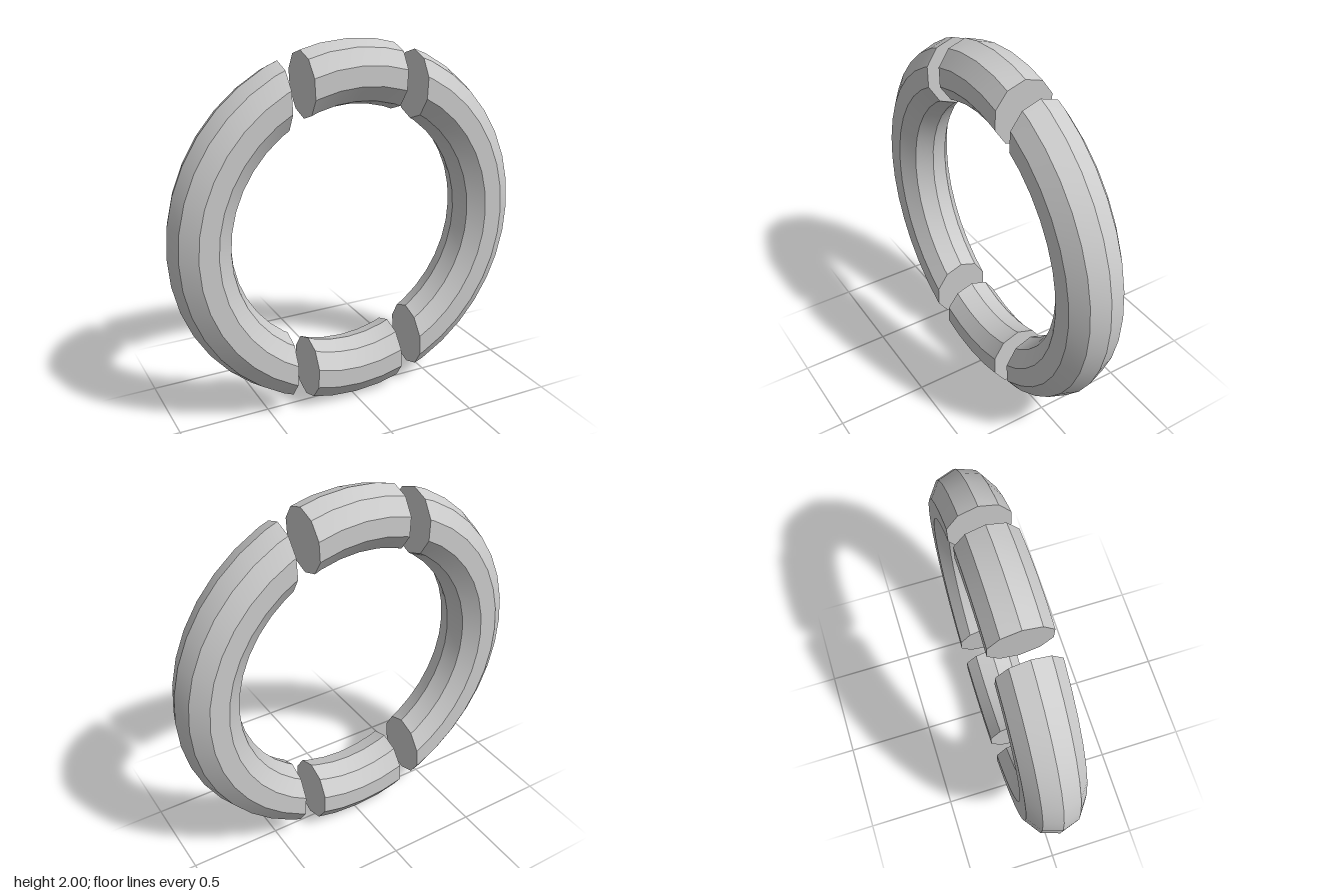
import * as THREE from 'three';
import { toCreasedNormals } from 'three/addons/utils/BufferGeometryUtils.js';

const STEP = Math.PI / 20; // the ring has 40 steps around
const SIDES = 10; // ten-sided cross-section
const RING = 0.8335, TUBE = 0.1665;
const SLANT = 0.045; // tilt of the cuts from vertical

// Radius at angle a on a 40-sided polygon whose corners lie at radius r
function polygonRadius(r, a) {
  const m = ((a % STEP) + STEP) % STEP;
  return (r * Math.cos(STEP / 2)) / Math.cos(m - STEP / 2);
}

// Angle from vertical where the slanted cut x = c + SLANT * y meets the polygon
function cutAngle(r, c) {
  let a = 0.3;
  for (let i = 0; i < 30; i++) {
    const rho = polygonRadius(r, a);
    a = Math.asin((c + SLANT * rho * Math.cos(a)) / rho);
  }
  return a;
}

// Sweep the cross-section over the given steps, trimming each edge to its limits
function segmentGeometry(first, last, limits) {
  const rows = [];
  for (let i = first; i <= last; i++) {
    const row = [];
    for (let j = 0; j < SIDES; j++) {
      const t = (j / SIDES) * Math.PI * 2;
      const r = RING + TUBE * Math.cos(t);
      const [lo, hi] = limits(r);
      const a = Math.min(Math.max(i * STEP, lo), hi);
      const rho = polygonRadius(r, a);
      row.push(new THREE.Vector3(rho * Math.sin(a), rho * Math.cos(a), TUBE * Math.sin(t)));
    }
    rows.push(row);
  }
  const pos = [];
  const tri = (a, b, c) => {
    const area = b.clone().sub(a).cross(c.clone().sub(a)).length();
    if (area > 1e-7) for (const p of [a, b, c]) pos.push(p.x, p.y, p.z);
  };
  for (let i = 0; i < rows.length - 1; i++) {
    for (let j = 0; j < SIDES; j++) {
      const k = (j + 1) % SIDES;
      tri(rows[i][j], rows[i][k], rows[i + 1][j]);
      tri(rows[i][k], rows[i + 1][k], rows[i + 1][j]);
    }
  }
  // Flat end caps
  const start = rows[0], end = rows[rows.length - 1];
  for (let j = 1; j < SIDES - 1; j++) {
    tri(start[0], start[j + 1], start[j]);
    tri(end[0], end[j], end[j + 1]);
  }
  const geo = new THREE.BufferGeometry();
  geo.setAttribute('position', new THREE.Float32BufferAttribute(pos, 3));
  return toCreasedNormals(geo, 0.4);
}

export function createModel() {
  const model = new THREE.Group();
  model.name = 'splitRing';
  const material = new THREE.MeshStandardMaterial({ color: 0xcccccc });

  // Short segments at top and bottom, long ones at the sides
  const short = segmentGeometry(-3, 3, (r) => {
    const a = cutAngle(r, 0.222);
    return [-a, a];
  });
  const long = segmentGeometry(2, 18, (r) => {
    const a = cutAngle(r, 0.345);
    return [a, Math.PI - a];
  });

  const add = (name, geometry, turn) => {
    const mesh = new THREE.Mesh(geometry, material);
    mesh.name = name;
    mesh.position.y = 1;
    mesh.rotation.z = turn;
    model.add(mesh);
  };
  add('topSegment', short, 0);
  add('bottomSegment', short, Math.PI);
  add('leftSegment', long, 0);
  add('rightSegment', long, Math.PI);
  return model;
}
